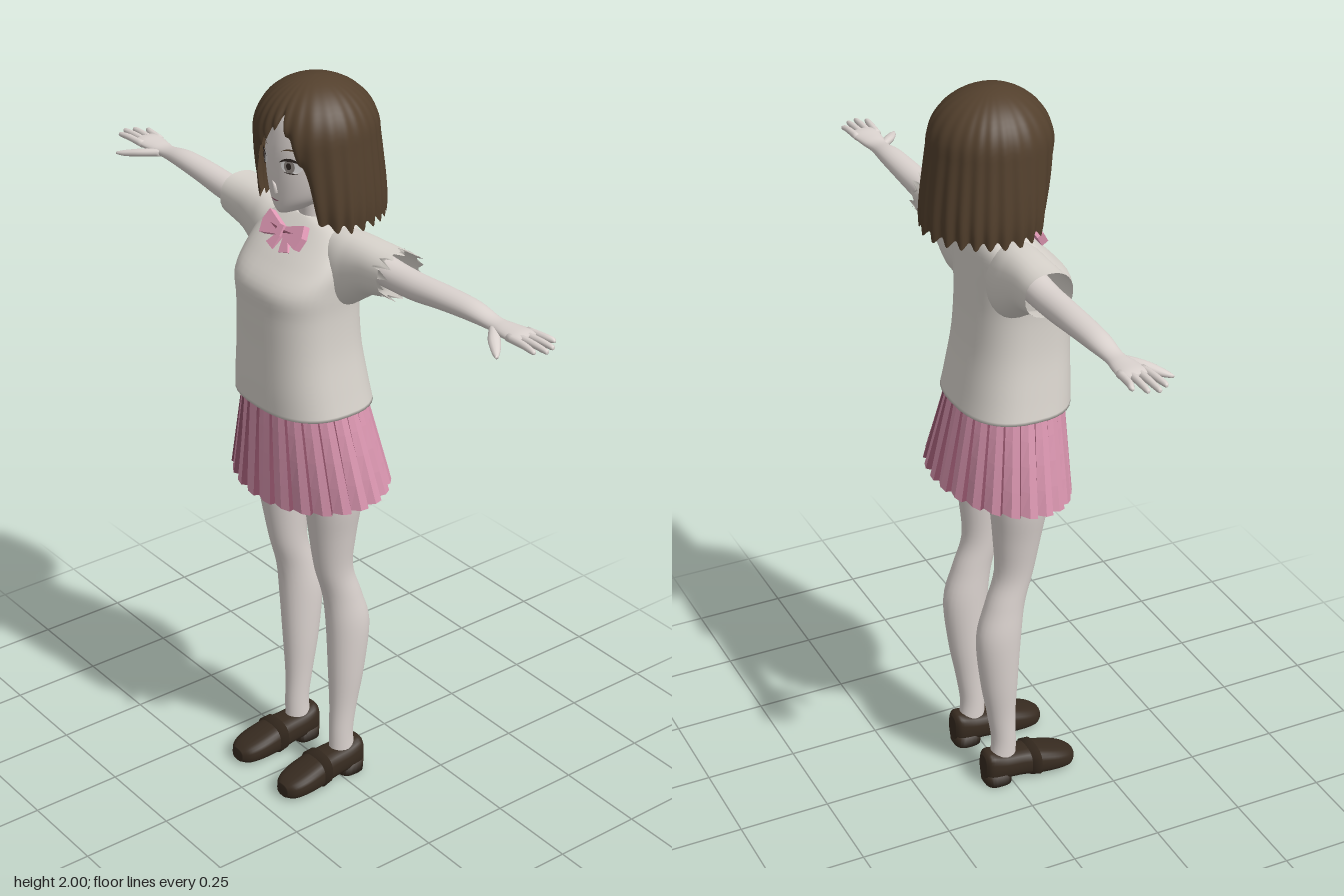
import * as THREE from 'three';

const mat = (name, color, side = THREE.FrontSide) => {
  const m = new THREE.MeshStandardMaterial({ color, side });
  m.name = name;
  return m;
};
const TWO = THREE.DoubleSide;
const AXES = { x: [0, 2, 1], y: [1, 0, 2], z: [2, 1, 0] }; // lengthwise, cosine, sine axis

// Smooth interpolation along a list of rings
function sample(rings, s) {
  const n = rings.length - 1, i = Math.min(Math.floor(s), n - 1), f = s - i;
  const [a, b, c, d] = [i - 1, i, i + 1, i + 2].map(k => rings[Math.max(0, Math.min(n, k))]);
  return b.map((v, k) => v + 0.5 * f * (c[k] - a[k] + f * (2 * a[k] - 5 * v + 4 * c[k] - d[k]
    + f * (3 * (v - c[k]) + d[k] - a[k]))));
}

// Skin over rings of [position, centre1, centre2, radius1, radius2]
function loft(axis, rings, { seg = 24, steps = 5, p = 2, caps = true } = {}) {
  const [L, A, B] = AXES[axis], pos = [], idx = [], rows = (rings.length - 1) * steps;
  const put = (t, u, v) => { const q = []; q[L] = t; q[A] = u; q[B] = v; pos.push(...q); };
  const pw = c => Math.sign(c) * Math.abs(c) ** (2 / p);
  for (let r = 0; r <= rows; r++) {
    const [t, u, v, ru, rv] = sample(rings, r / steps);
    for (let j = 0; j < seg; j++) {
      const a = j / seg * Math.PI * 2;
      put(t, u + ru * pw(Math.cos(a)), v + rv * pw(Math.sin(a)));
    }
  }
  for (let r = 0; r < rows; r++) for (let j = 0; j < seg; j++) {
    const k = (j + 1) % seg, a = r * seg + j, b = r * seg + k;
    idx.push(a, a + seg, b, b, a + seg, b + seg);
  }
  if (caps) {
    const s = pos.length / 3, e = rows * seg, first = rings[0], last = rings[rings.length - 1];
    put(...first.slice(0, 3)); put(...last.slice(0, 3));
    for (let j = 0; j < seg; j++) {
      const k = (j + 1) % seg;
      idx.push(s, j, k, s + 1, e + k, e + j);
    }
  }
  return makeGeo(pos, idx);
}
function makeGeo(pos, idx) {
  const g = new THREE.BufferGeometry();
  g.setAttribute('position', new THREE.Float32BufferAttribute(pos, 3));
  if (idx) g.setIndex(idx);
  g.computeVertexNormals();
  return g;
}
function mirror(geo) {
  const g = geo.clone(), p = g.attributes.position, ix = g.index.array;
  for (let i = 0; i < p.count; i++) p.setX(i, -p.getX(i));
  for (let i = 0; i < ix.length; i += 3) [ix[i], ix[i + 1]] = [ix[i + 1], ix[i]];
  g.computeVertexNormals();
  return g;
}

export function createModel() {
  const root = new THREE.Group();
  root.name = 'girl';
  const M = {
    skin: mat('skin', 0xdcd4d0), knit: mat('knit', 0xdad5ce, TWO), pink: mat('skirtPink', 0xd894ae, TWO),
    fold: mat('foldPink', 0x8c5066, TWO), bow: mat('bowPink', 0xe59cb9), hair: mat('hairBrown', 0x53402d, TWO),
    shoe: mat('shoeBrown', 0x372b20), dark: mat('lashDark', 0x2e2521), white: mat('eyeWhite', 0xf2efee),
    iris: mat('irisGrey', 0x8d8580),
  };
  const add = (name, geo, m, parent = root) => {
    const mesh = new THREE.Mesh(geo, m);
    mesh.name = name;
    parent.add(mesh);
    return mesh;
  };
  const pair = (name, geo, m) => { add('left' + name, geo, m); add('right' + name, mirror(geo), m); };

  // Legs and hips
  pair('Leg', loft('y', [
    [0.05, 0.1, -0.02, 0.03, 0.04], [0.13, 0.1, -0.015, 0.03, 0.035], [0.22, 0.1, -0.022, 0.034, 0.04],
    [0.34, 0.102, -0.03, 0.044, 0.053], [0.48, 0.104, -0.032, 0.05, 0.063], [0.58, 0.102, -0.013, 0.047, 0.055],
    [0.67, 0.1, 0.013, 0.048, 0.053], [0.78, 0.104, 0.02, 0.06, 0.065], [0.9, 0.11, 0.022, 0.075, 0.08],
    [1.02, 0.1, 0.02, 0.085, 0.09]]), M.skin);
  add('shorts', loft('y', [[0.93, 0, 0.02, 0.1, 0.07], [0.98, 0, 0.02, 0.15, 0.095], [1.1, 0, 0.03, 0.16, 0.11]]), M.knit);

  // Shoes: upper, strap over the instep, heel block
  pair('Shoe', loft('z', [
    [-0.077, 0.055, 0.1, 0.035, 0.022], [-0.062, 0.057, 0.1, 0.045, 0.038], [-0.02, 0.052, 0.1, 0.04, 0.044],
    [0.03, 0.048, 0.1, 0.04, 0.046], [0.07, 0.043, 0.101, 0.041, 0.051], [0.13, 0.034, 0.103, 0.034, 0.052],
    [0.17, 0.027, 0.104, 0.027, 0.042], [0.19, 0.024, 0.104, 0.018, 0.022]], { p: 2.7 }), M.shoe);
  pair('ShoeStrap', loft('z', [[0.052, 0.047, 0.1, 0.043, 0.053], [0.078, 0.043, 0.101, 0.044, 0.056]], { p: 2.7, steps: 1 }), M.shoe);
  pair('ShoeHeel', loft('y', [[0, 0.1, -0.037, 0.04, 0.038], [0.035, 0.1, -0.037, 0.042, 0.04]], { p: 3, steps: 1 }), M.shoe);

  // Pleated skirt: light panels joined by narrow dark folds
  const PLEATS = 24, panels = [], folds = [];
  const skirtPoint = (turn, v, k) => {
    const a = turn / PLEATS * Math.PI * 2, s = Math.sin(a), c = Math.cos(a), r = 1 - k * (0.02 + 0.06 * v);
    const hem = 0.915 - 0.02 * c;
    return [(0.178 + 0.074 * v) * r * s, 1.175 + (hem - 1.175) * v, 0.035 - 0.022 * v + (0.143 + 0.036 * v) * r * c];
  };
  const strip = (out, a, ka, b, kb) => {
    for (let i = 0; i < 4; i++) {
      const [v, w] = [i / 4, (i + 1) / 4];
      const [p, q, r, s] = [skirtPoint(a, v, ka), skirtPoint(a, w, ka), skirtPoint(b, v, kb), skirtPoint(b, w, kb)];
      out.push(...p, ...q, ...r, ...r, ...q, ...s);
    }
  };
  for (let i = 0; i < PLEATS; i++) {
    strip(panels, i, 0.9, i + 0.45, 0.1);
    strip(panels, i + 0.45, 0.1, i + 0.88, 0);
    strip(folds, i + 0.88, 0, i + 1, 0.9);
  }
  add('skirtPanels', makeGeo(panels), M.pink);
  add('skirtFolds', makeGeo(folds), M.fold);

  // Sweater body and sleeves; the left cuff is torn
  add('sweater', loft('y', [
    [1.155, 0, 0.035, 0.187, 0.15], [1.22, 0, 0.042, 0.177, 0.145], [1.32, 0, 0.05, 0.164, 0.137],
    [1.42, 0, 0.054, 0.161, 0.134], [1.49, 0, 0.054, 0.166, 0.133], [1.55, 0, 0.03, 0.17, 0.108],
    [1.6, 0, 0.006, 0.158, 0.082], [1.632, 0, -0.005, 0.12, 0.06], [1.645, 0, -0.005, 0.06, 0.045]],
    { seg: 40, p: 2.5 }), M.knit);
  const sleeve = loft('x', [
    [0.07, 0, 1.53, 0.06, 0.1], [0.14, 0, 1.54, 0.072, 0.1], [0.19, -0.002, 1.557, 0.068, 0.086],
    [0.24, -0.004, 1.574, 0.064, 0.069], [0.29, -0.006, 1.581, 0.064, 0.061], [0.325, -0.007, 1.585, 0.064, 0.057]],
    { seg: 28, p: 2.3, caps: false });
  add('rightSleeve', mirror(sleeve), M.knit);
  const torn = sleeve.clone(), tp = torn.attributes.position;
  for (let j = 0; j < 28; j++) {
    const i = tp.count - 28 + j;
    tp.setX(i, 0.318 + (j % 2 ? 0.033 : -0.018) + 0.01 * Math.sin(j * 2.3));
  }
  torn.computeVertexNormals();
  add('leftSleeve', torn, M.knit);

  // Arms, hands, fingers
  pair('Arm', loft('x', [
    [0.15, -0.008, 1.582, 0.045, 0.045], [0.3, -0.01, 1.576, 0.04, 0.036], [0.39, -0.01, 1.577, 0.038, 0.034],
    [0.49, -0.013, 1.584, 0.036, 0.029], [0.59, -0.015, 1.588, 0.032, 0.024], [0.665, -0.015, 1.584, 0.025, 0.016],
    [0.71, -0.015, 1.585, 0.032, 0.015], [0.755, -0.016, 1.588, 0.038, 0.013], [0.78, -0.016, 1.589, 0.034, 0.009]]), M.skin);
  [[-0.044, -0.054, 0.828], [-0.024, -0.028, 0.852], [-0.004, -0.003, 0.86], [0.014, 0.022, 0.845]].forEach(([z, z2, tip], i) =>
    pair('Finger' + (i + 1), loft('x', [
      [0.745, z, 1.588, 0.01, 0.01], [0.8, (z + z2) / 2, 1.591, 0.009, 0.009],
      [tip - 0.008, z2, 1.59, 0.007, 0.007], [tip, z2, 1.589, 0.003, 0.003]], { seg: 10, steps: 3 }), M.skin));
  pair('Thumb', loft('x', [
    [0.675, 0, 1.582, 0.012, 0.01], [0.715, 0.03, 1.578, 0.019, 0.011], [0.755, 0.058, 1.571, 0.014, 0.009],
    [0.778, 0.075, 1.568, 0.005, 0.004]], { seg: 12 }), M.skin);

  // Neck and head
  add('neck', loft('y', [[1.59, 0, -0.005, 0.052, 0.048], [1.645, 0, 0, 0.04, 0.04], [1.73, 0, 0.008, 0.04, 0.045]]), M.skin);
  const headRings = [
    [1.668, 0, 0.09, 0.014, 0.018], [1.682, 0, 0.066, 0.042, 0.05], [1.72, 0, 0.034, 0.084, 0.086],
    [1.78, 0, 0.014, 0.107, 0.109], [1.85, 0, 0, 0.115, 0.12], [1.92, 0, -0.01, 0.1, 0.11], [1.965, 0, -0.01, 0.055, 0.06]];
  add('head', loft('y', headRings, { seg: 40, steps: 6 }), M.skin);
  const nose = add('nose', new THREE.ConeGeometry(0.011, 0.034, 12), M.skin);
  nose.position.set(0, 1.742, 0.122);
  nose.rotation.x = 0.45;

  // Face details laid on the curve of the head
  const faceZ = (x, y) => {
    let best = headRings[0];
    for (let s = 0; s <= 6; s += 0.02) {
      const r = sample(headRings, s);
      if (Math.abs(r[0] - y) < Math.abs(best[0] - y)) best = r;
    }
    return best[2] + best[4] * Math.sqrt(Math.max(0, 1 - (x / best[3]) ** 2));
  };
  const patch = (name, pts, m, lift) => {
    const g = new THREE.ShapeGeometry(new THREE.Shape(pts.map(q => new THREE.Vector2(...q))));
    const p = g.attributes.position;
    for (let i = 0; i < p.count; i++) p.setZ(i, faceZ(p.getX(i), p.getY(i)) + lift);
    g.computeVertexNormals();
    add(name, g, m);
  };
  const oval = (x, y, rx, ry) => Array.from({ length: 20 }, (_, i) =>
    [x + rx * Math.cos(i * Math.PI / 10), y + ry * Math.sin(i * Math.PI / 10)]);
  const arc = (x, y, w, h, t) => { // crescent, thick in the middle
    const row = k => Array.from({ length: 9 }, (_, i) => [x + w * (i / 4 - 1), y + (h + k) * (1 - (i / 4 - 1) ** 2)]);
    return [...row(0), ...row(t).reverse().slice(1, -1)];
  };
  for (const [side, s] of [['left', 1], ['right', -1]]) {
    patch(side + 'EyeWhite', oval(s * 0.052, 1.803, 0.025, 0.017), M.white, 0.003);
    patch(side + 'Iris', oval(s * 0.05, 1.804, 0.013, 0.017), M.iris, 0.0045);
    patch(side + 'Pupil', oval(s * 0.05, 1.805, 0.006, 0.009), M.dark, 0.006);
    patch(side + 'Lash', arc(s * 0.053, 1.81, 0.029, 0.008, 0.008), M.dark, 0.007);
    patch(side + 'LowerLash', arc(s * 0.053, 1.789, 0.018, -0.004, 0.003), M.dark, 0.005);
    patch(side + 'Brow', arc(s * 0.053, 1.838, 0.027, 0.006, 0.004), M.hair, 0.004);
  }
  patch('mouth', arc(0, 1.706, 0.015, -0.003, 0.004), M.fold, 0.004);

  // Bobbed hair: one shell with wavy strands and a cut-out for the face
  const hemPts = [[-180, 1.645], [-90, 1.65], [-56, 1.66], [-47, 1.68], [-42, 1.75], [-30, 1.795], [-15, 1.845],
    [2, 1.885], [16, 1.925], [25, 1.875], [38, 1.81], [44, 1.75], [48, 1.68], [56, 1.66], [90, 1.65], [180, 1.645]];
  const hem = deg => {
    const i = Math.max(1, hemPts.findIndex(q => q[0] >= deg)), [a, b] = [hemPts[i - 1], hemPts[i]];
    return a[1] + (b[1] - a[1]) * (deg - a[0]) / (b[0] - a[0]);
  };
  const NA = 216, NV = 24, hp = [], hi = [];
  for (let v = 0; v <= NV; v++) for (let j = 0; j < NA; j++) {
    const a = j / NA * Math.PI * 2 - Math.PI, t = v / NV, wave = Math.sin(a * 26 + 2 * Math.sin(a * 3));
    const low = hem(a * 180 / Math.PI) + 0.01 * wave, y = low + (2 - low) * Math.cos(t * Math.PI / 2);
    const up = Math.max(0, y - 1.86) / 0.14, k = Math.max(0, 1.86 - y) / 0.2;
    const dome = Math.sqrt(Math.max(0, 1 - up * up)) * (1 - 0.016 * t * (1 + wave)) * (1 - 0.06 * t ** 14);
    const c = Math.cos(a), rz = c > 0 ? 0.15 - 0.02 * k : 0.165 + 0.028 * k;
    hp.push((0.155 + 0.021 * k) * dome * Math.sin(a), y, rz * dome * c);
    if (v < NV) {
      const n = (j + 1) % NA, p = v * NA + j, q = v * NA + n;
      hi.push(p, p + NA, q, q, p + NA, q + NA);
    }
  }
  add('hair', makeGeo(hp, hi), M.hair);

  // Ribbon bow at the collar
  const bow = new THREE.Group();
  bow.name = 'bow';
  bow.position.set(0, 1.608, 0.087);
  bow.rotation.x = -0.55;
  root.add(bow);
  const cloth = (name, pts, depth, m) => add(name, new THREE.ExtrudeGeometry(
    new THREE.Shape(pts.map(q => new THREE.Vector2(...q))), { depth, bevelEnabled: false }), m, bow);
  for (const [side, s] of [['left', 1], ['right', -1]]) {
    cloth(side + 'BowLoop', [[s * 0.006, 0.012], [s * 0.07, 0.036], [s * 0.08, 0.005], [s * 0.072, -0.028], [s * 0.006, -0.012]], 0.02, M.bow);
    cloth(side + 'BowTail', [[s * 0.004, -0.006], [s * 0.012, -0.052], [s * 0.045, -0.042], [s * 0.016, -0.004]], 0.01, M.bow);
    cloth(side + 'BowCrease', [[s * 0.012, 0.004], [s * 0.045, 0.006], [s * 0.012, -0.003]], 0.023, M.fold);
  }
  add('bowKnot', new THREE.BoxGeometry(0.022, 0.028, 0.03), M.bow, bow).position.z = 0.012;

  return root;
}
